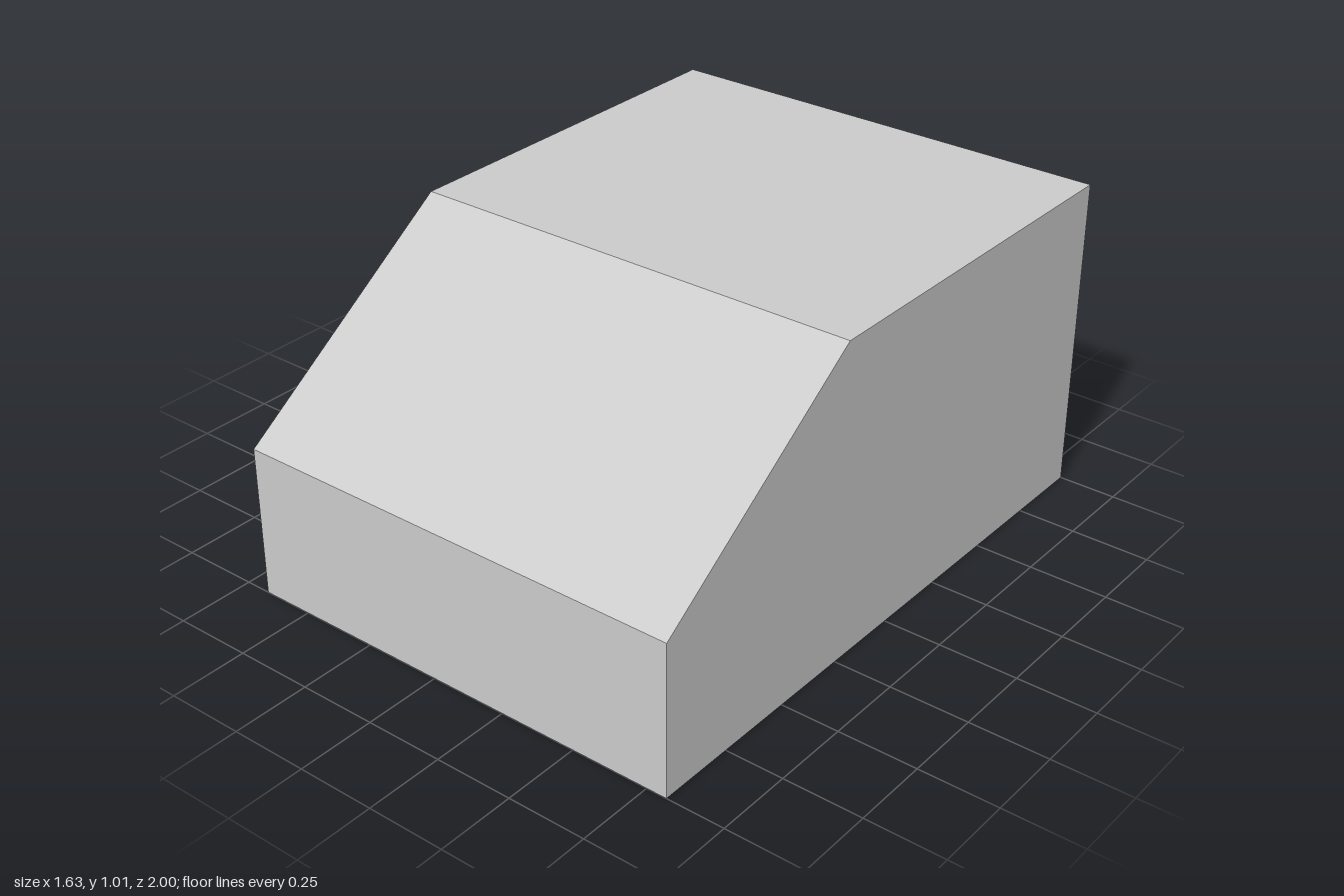
import * as THREE from 'three';

const material = new THREE.MeshStandardMaterial({ color: 0xcccccc, flatShading: true, side: THREE.DoubleSide });

// Main hall and porch extents
const X0 = -0.667, X1 = 0.815, PORCH_X = -0.815;
const Z0 = -0.61, Z1 = -0.14, PORCH_H = 0.8;

// Side outline of the hall as [z, y], running from back bottom to front bottom over the roof
const profile = [[1, 0], [1, 0.485], [0.245, 1.01], [-1, 1.01], [-1, 0]];

// Flat wall in the z-y plane at a given x, facing -x or +x
function sideWall(name, x, points, facing, hole) {
  const toVec = ([z, y]) => new THREE.Vector2(-facing * z, y);
  const shape = new THREE.Shape(points.map(toVec));
  if (hole) shape.holes.push(new THREE.Path(hole.map(toVec)));
  const mesh = new THREE.Mesh(new THREE.ShapeGeometry(shape), material);
  mesh.rotation.y = facing * Math.PI / 2;
  mesh.position.x = x;
  mesh.name = name;
  return mesh;
}

// Strip from x0 to x1 along one segment of a z-y outline
function strip(name, x0, x1, [za, ya], [zb, yb]) {
  const geometry = new THREE.BufferGeometry();
  geometry.setAttribute('position', new THREE.Float32BufferAttribute(
    [x0, ya, za, x1, ya, za, x1, yb, zb, x0, yb, zb], 3));
  geometry.setIndex([0, 1, 2, 0, 2, 3]);
  geometry.computeVertexNormals();
  const mesh = new THREE.Mesh(geometry, material);
  mesh.name = name;
  return mesh;
}

function createHall() {
  const hall = new THREE.Group();
  hall.name = 'hall';
  ['frontWall', 'slopedRoof', 'flatRoof', 'backWall', 'floor'].forEach((name, i) =>
    hall.add(strip(name, X0, X1, profile[i], profile[(i + 1) % profile.length])));
  hall.add(sideWall('leftWall', X1, profile, 1));
  // The wall behind the porch is open as a doorway
  const doorway = [[Z0, 0], [Z0, PORCH_H], [Z1, PORCH_H], [Z1, 0]];
  hall.add(sideWall('doorwayWall', X0, [...profile, ...doorway], -1));
  return hall;
}

function createPorch() {
  const porch = new THREE.Group();
  porch.name = 'porch';
  const outline = [[Z1, 0], [Z1, PORCH_H], [Z0, PORCH_H], [Z0, 0]];
  ['porchFrontWall', 'porchRoof', 'porchBackWall', 'porchFloor'].forEach((name, i) =>
    porch.add(strip(name, PORCH_X, X0, outline[i], outline[(i + 1) % 4])));
  // Narrow frame around the opening, with a raised sill
  const a = Z0 + 0.03, b = Z1 - 0.03;
  const opening = [[a, 0.125], [a, 0.772], [b, 0.772], [b, 0.125]];
  porch.add(sideWall('openingFrame', PORCH_X, outline, -1, opening));
  return porch;
}

export function createModel() {
  const model = new THREE.Group();
  model.name = 'building';
  model.add(createHall(), createPorch());
  return model;
}
